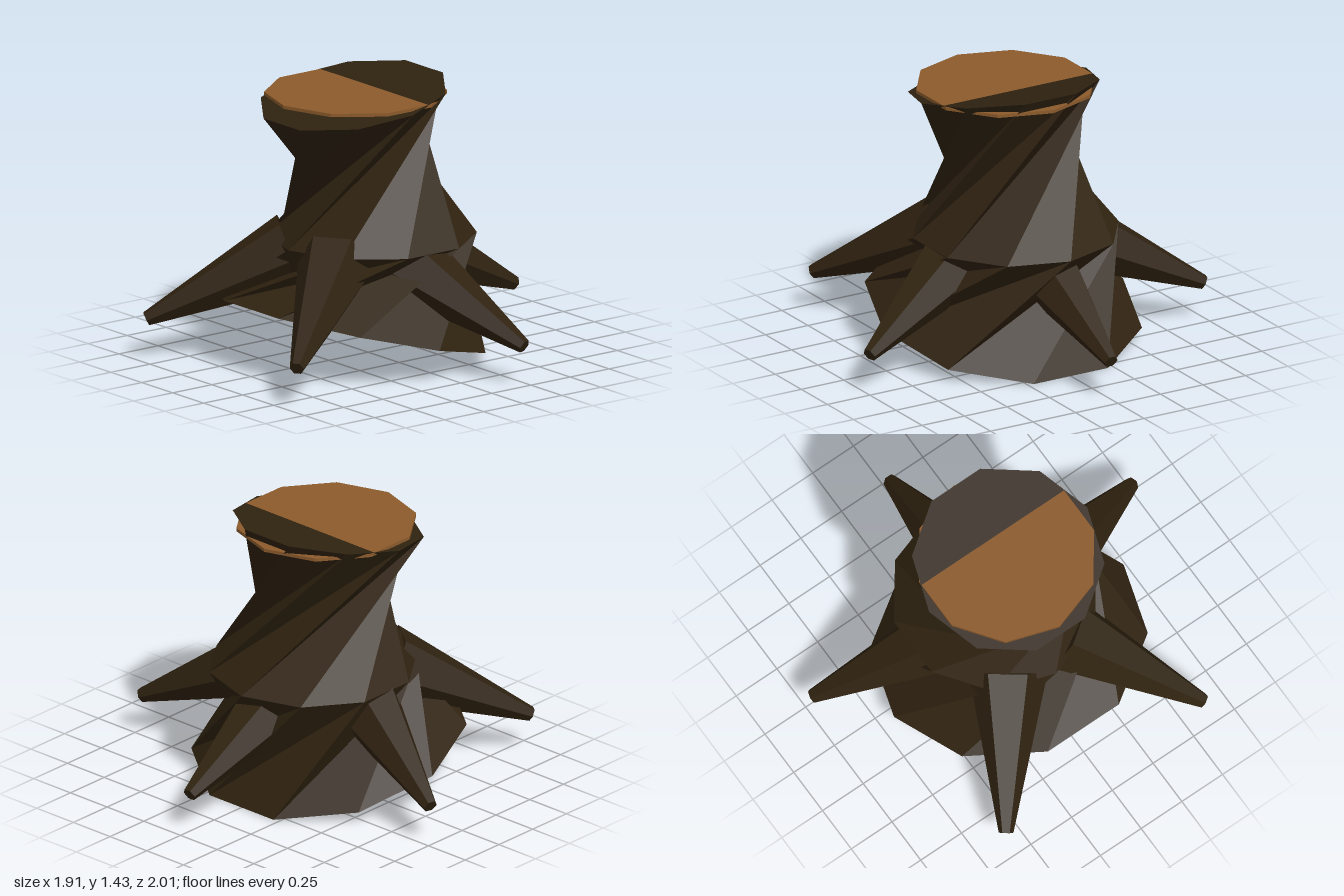
import * as THREE from 'three';

const SIDES = 10;
const rad = THREE.MathUtils.degToRad;

// Ten-sided ring centred at (x, y, 0), tilted about z, turned by phase degrees
function ring(x, y, radius, tilt, phase) {
  const points = [];
  for (let i = 0; i < SIDES; i++) {
    const a = rad(phase + (i * 360) / SIDES);
    const r = radius * Math.cos(a);
    points.push(new THREE.Vector3(x + r * Math.cos(rad(tilt)), y + r * Math.sin(rad(tilt)), radius * Math.sin(a)));
  }
  points.center = new THREE.Vector3(x, y, 0);
  return points;
}

// Twisted wall between two rings
function wall(lower, upper) {
  const out = [];
  for (let i = 0; i < SIDES; i++) {
    const j = (i + 1) % SIDES;
    out.push(lower[i], upper[i], lower[j], lower[j], upper[i], upper[j]);
  }
  return out;
}

function cap(points, facesUp) {
  const out = [];
  for (let i = 0; i < SIDES; i++) {
    const j = (i + 1) % SIDES;
    out.push(points.center, points[facesUp ? j : i], points[facesUp ? i : j]);
  }
  return out;
}

function facetedMesh(name, points, material) {
  const geometry = new THREE.BufferGeometry().setFromPoints(points);
  geometry.computeVertexNormals();
  const mesh = new THREE.Mesh(geometry, material);
  mesh.name = name;
  return mesh;
}

export function createModel() {
  const model = new THREE.Group();
  model.name = 'treeStump';

  const bark = new THREE.MeshStandardMaterial({ color: 0x2f2210, flatShading: true });
  bark.name = 'bark';
  const wood = new THREE.MeshStandardMaterial({ color: 0x8b5a2b, flatShading: true });
  wood.name = 'cutWood';

  // Twisted stump: slanted foot, level middle, slanted top
  const foot = ring(-0.1, 0.178, 0.705, -15, 18);
  const middle = ring(0.02, 0.62, 0.53, 0, -36);
  const top = ring(-0.095, 1.355, 0.485, 9.3, -126);
  model.add(facetedMesh('stumpBase', [...cap(foot, false), ...wall(foot, middle)], bark));
  model.add(facetedMesh('trunk', [...wall(middle, top), ...cap(top, true)], bark));

  // Thin level disc of cut wood, partly sunk into the slanted top
  const disc = new THREE.Mesh(new THREE.CylinderGeometry(0.46, 0.46, 0.017, SIDES), wood);
  disc.name = 'cutSurface';
  disc.rotation.y = Math.PI / 2;
  disc.position.set(-0.08, 1.3685, 0);
  model.add(disc);

  // Five tapered roots sloping outwards
  const inner = new THREE.Vector3(0.3, 0.557, 0);
  const tip = new THREE.Vector3(1.035, 0.207, 0);
  const along = tip.clone().sub(inner);
  const rootGeometry = new THREE.CylinderGeometry(0.037, 0.2, along.length(), 6);
  rootGeometry.rotateZ(Math.atan2(along.y, along.x) - Math.PI / 2);
  rootGeometry.translate((inner.x + tip.x) / 2, (inner.y + tip.y) / 2, 0);
  for (let i = 0; i < 5; i++) {
    const root = new THREE.Mesh(rootGeometry, bark);
    root.name = 'root' + (i + 1);
    root.position.x = -0.1;
    root.rotation.y = rad(72 * i);
    model.add(root);
  }

  return model;
}
